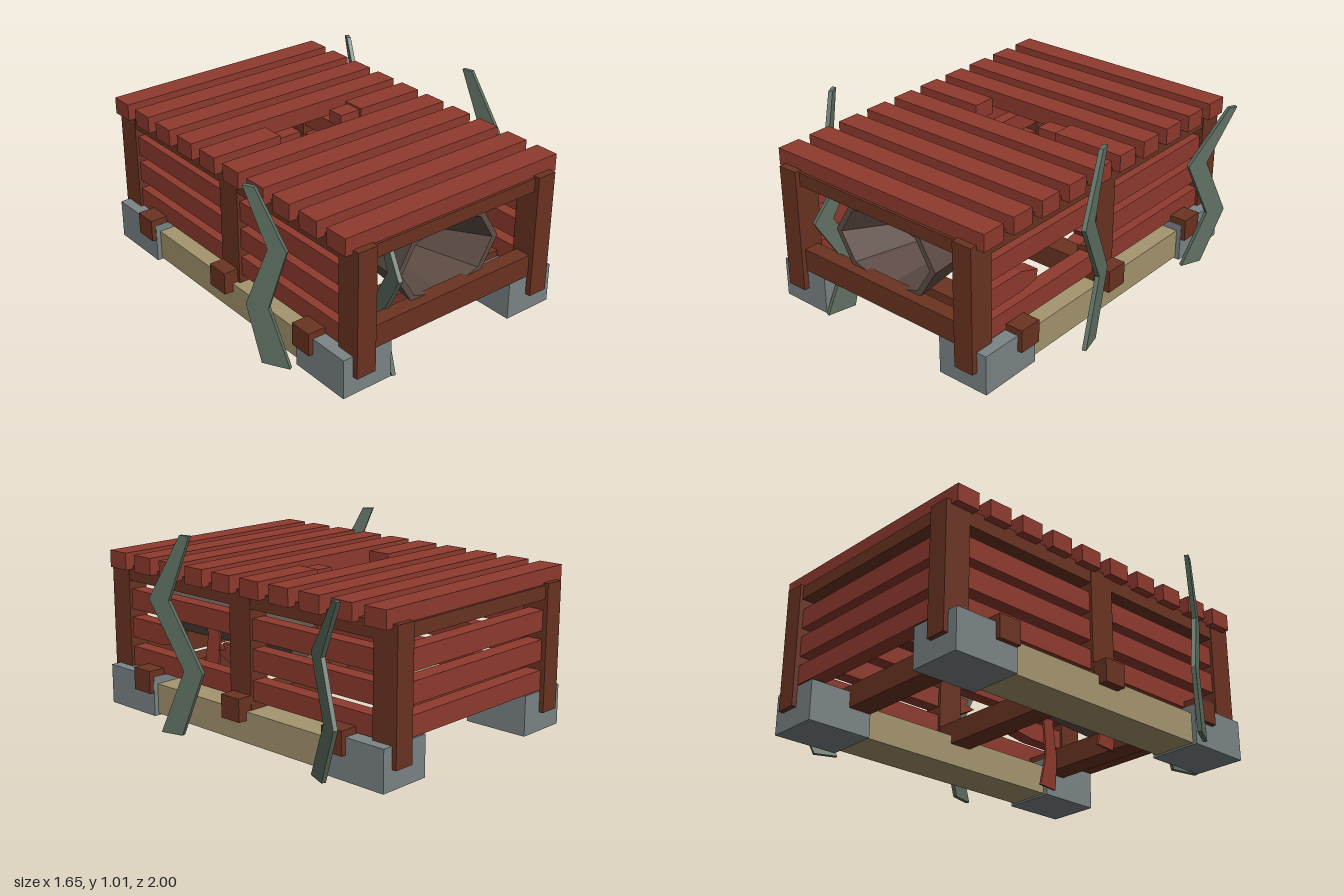
import * as THREE from 'three';

const mat = (name, color, side = THREE.FrontSide) => {
  const m = new THREE.MeshStandardMaterial({ color, flatShading: true, side });
  m.name = name;
  return m;
};

export function createModel() {
  const model = new THREE.Group();
  const red = mat('red plank', 0x8f3a2e);
  const brown = mat('brown timber', 0x6b3322);
  const stone = mat('grey stone', 0x7b8486);
  const tan = mat('tan beam', 0xa5956f);
  const green = mat('green weed', 0x607163);
  const clay = mat('dull clay', 0x5e4d45, THREE.DoubleSide);

  const add = (name, geo, material) => {
    const mesh = new THREE.Mesh(geo, material);
    mesh.name = name;
    model.add(mesh);
    return mesh;
  };
  // Box given by its extents
  const box = (name, material, x0, x1, y0, y1, z0, z1) => {
    const geo = new THREE.BoxGeometry(x1 - x0, y1 - y0, z1 - z0);
    geo.translate((x0 + x1) / 2, (y0 + y1) / 2, (z0 + z1) / 2);
    return add(name, geo, material);
  };
  const polygon = (pts) => new THREE.Shape(pts.map(([a, b]) => new THREE.Vector2(a, b)));

  // Base, posts and rails on both sides
  const slatRows = [[0.215, 0.318], [0.367, 0.475], [0.52, 0.626]];
  for (const s of [-1, 1]) {
    const sideBox = (name, m, a, b, ...rest) =>
      box(name, m, Math.min(s * a, s * b), Math.max(s * a, s * b), ...rest);
    sideBox('footBlock', stone, 0.385, 0.67, 0, 0.21, 0.6, 0.95);
    sideBox('footBlock', stone, 0.385, 0.67, 0, 0.21, -0.975, -0.62);
    sideBox('baseBeam', tan, 0.41, 0.645, 0.01, 0.17, -0.64, 0.61);
    sideBox('cornerPost', brown, 0.505, 0.615, 0.1, 0.76, 0.845, 0.98);
    sideBox('cornerPost', brown, 0.505, 0.615, 0.1, 0.76, -1, -0.86);
    sideBox('middlePost', brown, 0.505, 0.615, 0.13, 0.75, -0.075, 0.07);
    sideBox('topRail', brown, 0.505, 0.612, 0.675, 0.758, -0.99, 0.97);
    slatRows.forEach(([y0, y1], i) => {
      const broken = s > 0 && i === 1;
      sideBox('sideSlat', red, 0.52, 0.6, y0, y1, -0.87, broken ? 0 : 0.86);
    });
  }

  // Cross beams under the floor
  for (const z of [0.665, -0.01, -0.685])
    box('crossBeam', brown, -0.695, 0.695, 0.125, 0.245, z - 0.063, z + 0.063);

  // End bars and back slats
  box('frontTopBar', brown, -0.51, 0.51, 0.68, 0.75, 0.87, 0.955);
  box('frontLowerBar', brown, -0.51, 0.51, 0.205, 0.325, 0.87, 0.955);
  box('backTopBar', brown, -0.51, 0.51, 0.68, 0.75, -0.985, -0.89);
  for (const [y0, y1] of slatRows) box('backSlat', red, -0.51, 0.51, y0, y1, -0.975, -0.89);

  // Splintered ends of the broken side slat, drawn as z, y
  const splinters = [
    [[0.86, 0.367], [0.86, 0.475], [0.62, 0.475], [0.5, 0.435], [0.51, 0.385], [0.62, 0.367]],
    [[-0.02, 0.367], [0.08, 0.367], [0.18, 0.42], [0.12, 0.432], [0.14, 0.465], [-0.02, 0.475]],
  ];
  for (const pts of splinters) {
    const geo = new THREE.ExtrudeGeometry(polygon(pts), { depth: 0.08, bevelEnabled: false });
    geo.rotateY(-Math.PI / 2);
    geo.translate(0.6, 0, 0);
    add('brokenSideSlat', geo, red);
  }

  // Roof planks, the fifth one broken
  for (let i = 0; i < 10; i++) {
    const z = -0.907 + i * 0.1983;
    const plank = (x0, x1, h = 0.064) => box('roofPlank', red, x0, x1, 0.74, 0.83, z - h, z + h);
    if (i === 4) {
      plank(-0.658, -0.26);
      plank(0.26, 0.658);
      box('brokenPlankEnd', red, 0.14, 0.27, 0.75, 0.82, -0.16, -0.065);
    } else plank(-0.658, 0.658);
  }

  // Hollow eight-sided funnel, flattened and sloping down to the back
  const profile = [[0.125, 0.16], [0.325, 0.9], [0.29, 0.9], [0.08, 0.16], [0.125, 0.16]];
  const funnel = new THREE.LatheGeometry(profile.map(([r, h]) => new THREE.Vector2(r, h)), 8);
  funnel.rotateX(Math.PI / 2);
  const p = funnel.attributes.position;
  for (let i = 0; i < p.count; i++) {
    const t = (p.getZ(i) - 0.16) / 0.74;
    p.setY(i, p.getY(i) * 0.68 + 0.35 + 0.135 * t);
  }
  add('funnel', funnel.toNonIndexed(), clay);

  // Kinked blades: a and b are the ground points (x, z) for u = 0 and u = 1;
  // each row is [y, low u, high u]
  const blade = (name, material, a, b, rows, thick = 0.022) => {
    const dx = b[0] - a[0], dz = b[1] - a[1], len = Math.hypot(dx, dz);
    const pts = [
      ...rows.map(([y, , hi]) => [hi * len, y]),
      ...rows.map(([y, lo]) => [lo * len, y]).reverse(),
    ];
    const geo = new THREE.ExtrudeGeometry(polygon(pts), { depth: thick, bevelEnabled: false });
    geo.translate(0, 0, -thick / 2);
    const mesh = add(name, geo, material);
    mesh.position.set(a[0], 0, a[1]);
    mesh.rotation.y = Math.atan2(-dz, dx);
  };
  blade('tallWeed', green, [0.728, 0.138], [0.808, 0.433],
    [[0, 0.42, 0.83], [0.335, 0, 0.36], [0.68, 0.62, 1], [1.01, 0.2, 0.38]]);
  blade('backWeed', green, [0.8, -0.81], [0.708, -0.585],
    [[0, 0.53, 1.02], [0.285, 0, 0.45], [0.585, 0.55, 1], [0.868, -0.13, 0.06]]);
  blade('sideWeed', green, [-0.818, 0.42], [-0.715, 0.605],
    [[0, 0.35, 1.04], [0.315, 0, 0.55], [0.63, 0.55, 1], [0.935, 0, 0.28]]);
  blade('frontWeed', green, [-0.325, 0.74], [-0.38, 0.995],
    [[0, 0.25, 0.85], [0.27, 0, 0.42], [0.53, 0.6, 1], [0.685, 0.28, 0.55]]);
  // Thin red blades inside
  const redRows = [[0, 0, 0.8], [0.18, 0.3, 0.9], [0.38, 0.2, 0.7], [0.54, 0.85, 1]];
  blade('redBlade', red, [0.295, 0.46], [0.318, 0.62], redRows, 0.012);
  blade('redBlade', red, [-0.325, 0.25], [-0.305, 0.41], redRows, 0.012);

  return model;
}
